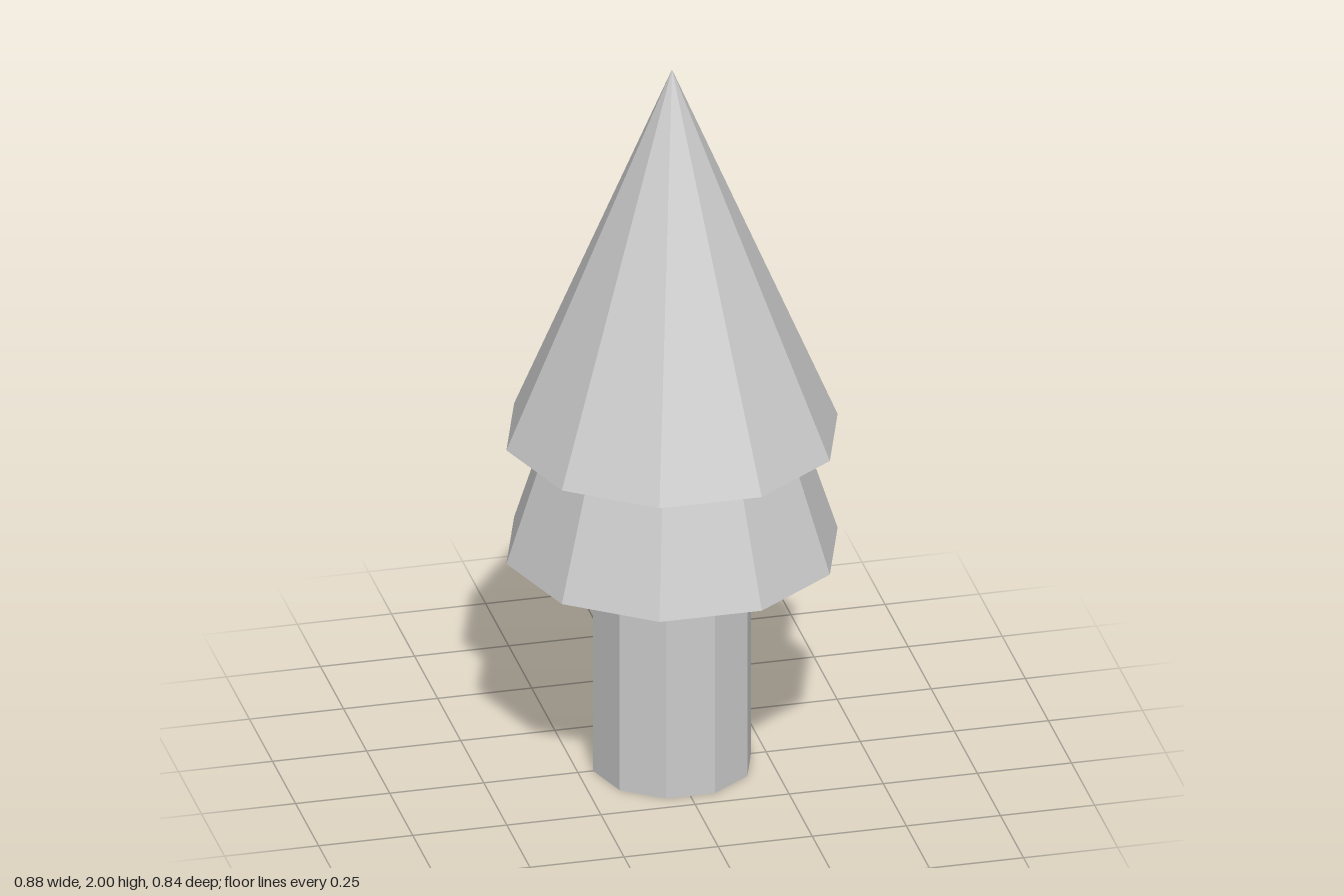
import * as THREE from 'three';

const SIDES = 10;

export function createModel() {
  const tree = new THREE.Group();
  tree.name = 'tree';
  const material = new THREE.MeshStandardMaterial({ color: 0xcccccc, flatShading: true });

  // Ten-sided tapered section between two heights, with corners on the x axis
  function addSection(name, bottomRadius, topRadius, bottomY, topY) {
    const height = topY - bottomY;
    const geometry = new THREE.CylinderGeometry(
      topRadius, bottomRadius, height, SIDES, 1, false, Math.PI / 2);
    const mesh = new THREE.Mesh(geometry, material);
    mesh.name = name;
    mesh.position.y = bottomY + height / 2;
    tree.add(mesh);
  }

  addSection('trunk', 0.21, 0.21, 0, 0.64);
  // The lower tier's top is tucked just inside the upper tier
  addSection('lowerFoliage', 0.44, 0.319, 0.625, 1.0);
  addSection('upperFoliage', 0.44, 0, 0.953, 2);

  return tree;
}
